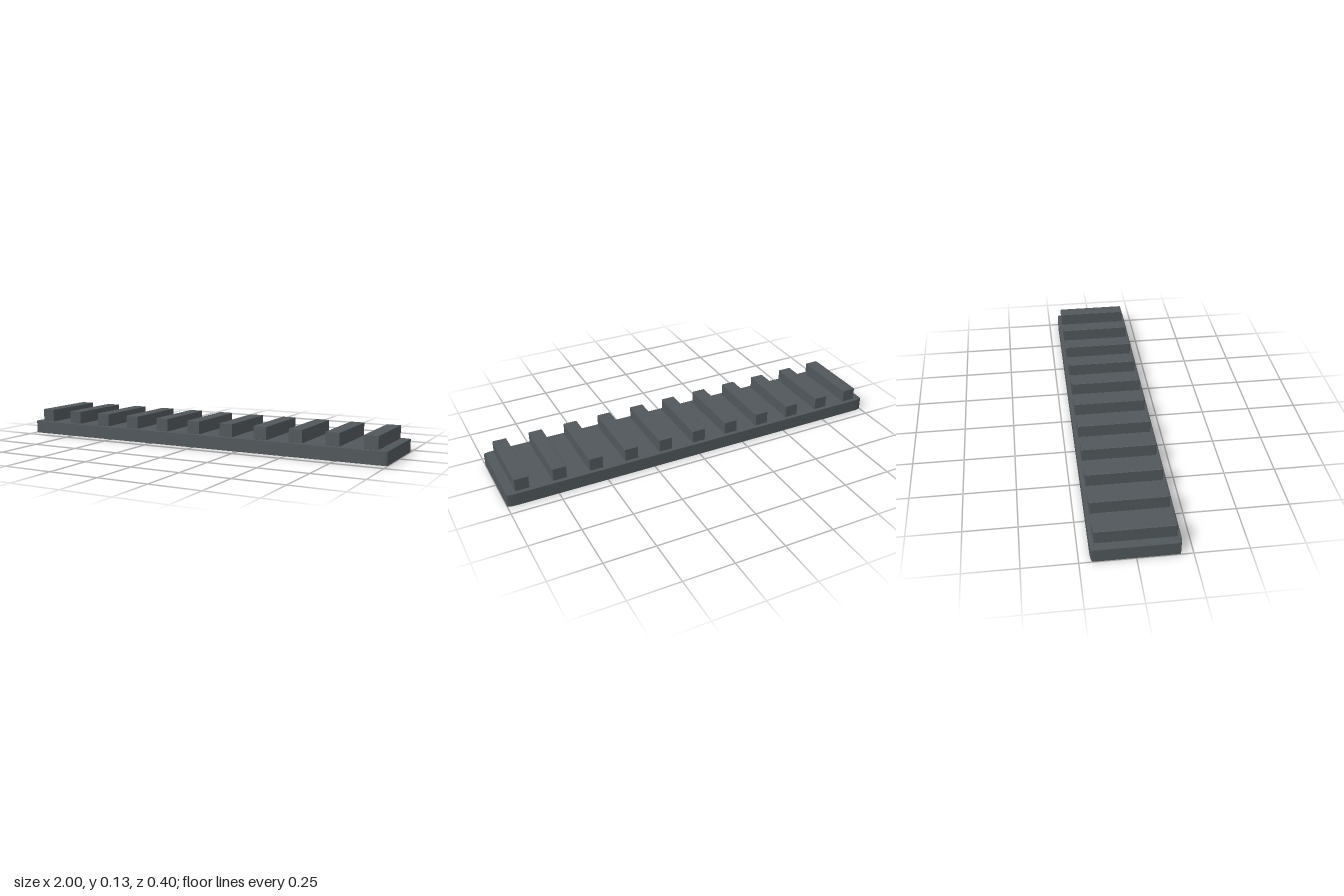
import * as THREE from 'three';
import { RoundedBoxGeometry } from 'three/addons/geometries/RoundedBoxGeometry.js';

export function createModel() {
  const model = new THREE.Group();
  model.name = 'slottedRail';

  const gunmetal = new THREE.MeshStandardMaterial({ color: 0x50575a });
  gunmetal.name = 'gunmetal';

  // Softened block: the edge rounding stretches with the block's proportions
  const block = (width, height, depth) =>
    new RoundedBoxGeometry(1, 1, 1, 2, 0.025).scale(width, height, depth);

  const addPart = (name, geometry, x, y) => {
    const mesh = new THREE.Mesh(geometry, gunmetal);
    mesh.name = name;
    mesh.position.set(x, y, 0);
    model.add(mesh);
  };

  // Long flat base plate
  const baseHeight = 0.067;
  addPart('basePlate', block(2, baseHeight, 0.4), 0, baseHeight / 2);

  // Evenly spaced cross ridges standing on the base
  const ridgeCount = 11, pitch = 0.184, ridgeHeight = 0.065;
  const ridge = block(0.07, ridgeHeight, 0.364);
  for (let i = 0; i < ridgeCount; i++) {
    const x = (i - (ridgeCount - 1) / 2) * pitch - 0.002;
    addPart(`ridge${i + 1}`, ridge, x, baseHeight + ridgeHeight / 2);
  }

  return model;
}
